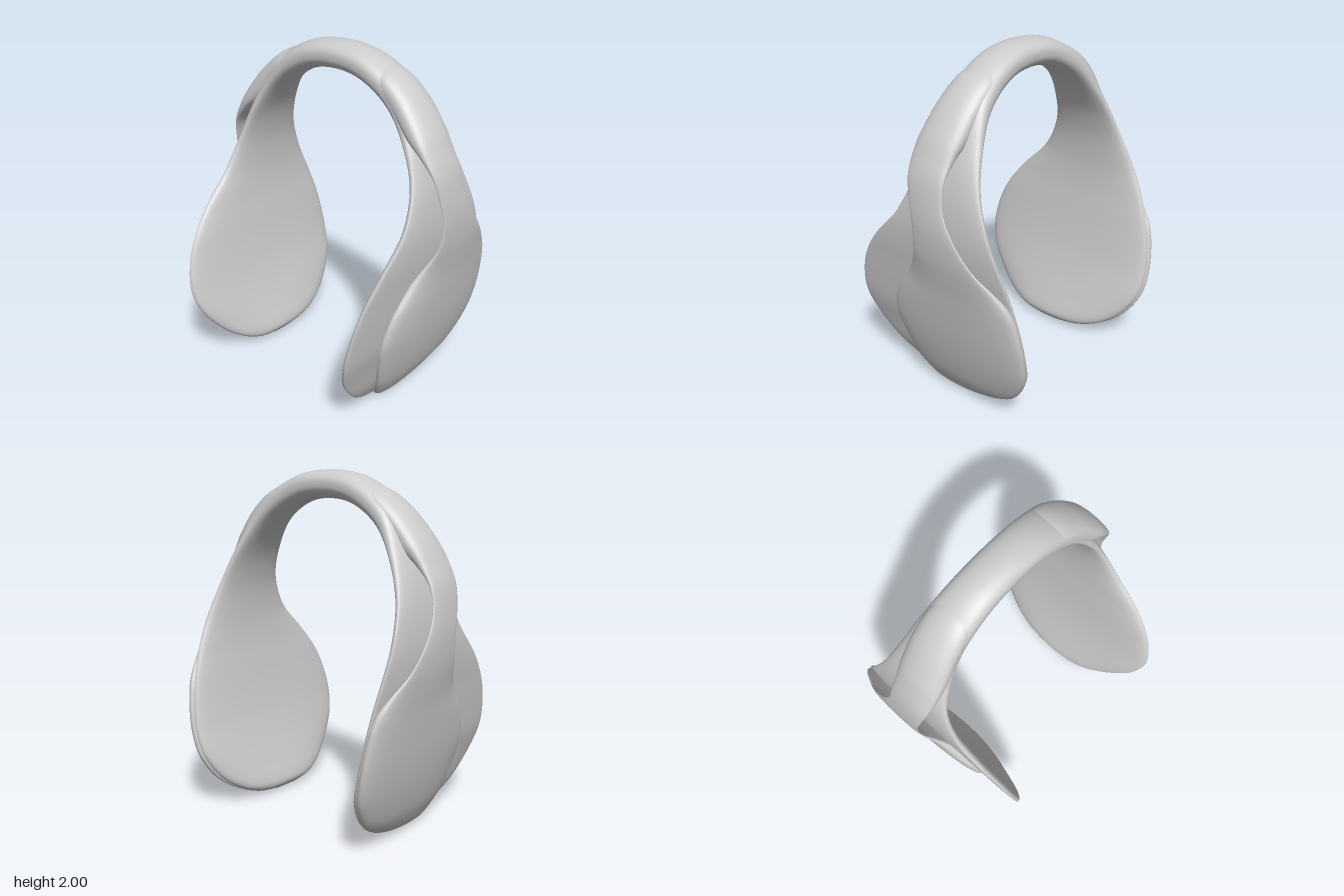
import * as THREE from 'three';

const material = new THREE.MeshStandardMaterial({ color: 0xcccccc, side: THREE.DoubleSide });

// Station: [inner x, inner y, outer x, outer y, front z, back z, rim position between inner (0) and outer (1)]
// Half of the arch with its inner pad, from crown to lower tip
const archHalf = [
  [0, 1.842, 0, 2, 0.042, -0.2, 0.5],
  [0.2, 1.808, 0.24, 1.96, 0.045, -0.205, 0.5],
  [0.39, 1.69, 0.46, 1.815, 0.055, -0.23, 0.45],
  [0.52, 1.52, 0.595, 1.57, 0.08, -0.28, 0.4],
  [0.588, 1.33, 0.665, 1.35, 0.125, -0.34, 0.6],
  [0.61, 1.14, 0.69, 1.14, 0.23, -0.425, 0.8],
  [0.605, 0.97, 0.685, 0.97, 0.395, -0.5, 0.8],
  [0.585, 0.81, 0.665, 0.81, 0.52, -0.555, 0.8],
  [0.56, 0.65, 0.645, 0.65, 0.59, -0.59, 0.8],
  [0.53, 0.5, 0.62, 0.48, 0.612, -0.603, 0.78],
  [0.49, 0.35, 0.58, 0.33, 0.565, -0.58, 0.78],
  [0.445, 0.21, 0.54, 0.185, 0.455, -0.49, 0.8],
  [0.412, 0.11, 0.5, 0.09, 0.335, -0.365, 0.8],
  [0.405, 0.06, 0.47, 0.03, 0.21, -0.22, 0.7],
  [0.425, 0.025, 0.455, 0.01, 0.08, -0.08, 0.5],
];

// Outer leaf that peels off the band, bows outwards and merges with the pad
const leafHalf = [
  [0.17, 1.84, 0.19, 1.92, -0.02, -0.14, 0.5],
  [0.3, 1.77, 0.36, 1.905, 0.04, -0.2, 0.5],
  [0.405, 1.69, 0.515, 1.797, 0.06, -0.208, 0.5],
  [0.52, 1.575, 0.64, 1.645, 0.08, -0.2, 0.5],
  [0.61, 1.51, 0.7, 1.535, 0.08, -0.185, 0.5],
  [0.71, 1.41, 0.747, 1.42, 0.065, -0.18, 0.4],
  [0.75, 1.28, 0.773, 1.28, 0.035, -0.2, 0.3],
  [0.763, 1.15, 0.782, 1.15, 0.01, -0.27, 0.3],
  [0.75, 1.01, 0.774, 1.01, 0.025, -0.38, 0.2],
  [0.695, 0.9, 0.757, 0.9, 0.085, -0.485, 0.2],
  [0.625, 0.79, 0.737, 0.79, 0.165, -0.565, 0.4],
  [0.59, 0.65, 0.715, 0.65, 0.272, -0.602, 0.46],
  [0.56, 0.49, 0.687, 0.49, 0.322, -0.614, 0.48],
  [0.525, 0.33, 0.65, 0.33, 0.3, -0.59, 0.48],
  [0.485, 0.18, 0.603, 0.18, 0.255, -0.495, 0.5],
  [0.455, 0.09, 0.56, 0.09, 0.215, -0.37, 0.48],
  [0.445, 0.03, 0.525, 0.035, 0.18, -0.225, 0.4],
  [0.45, 0.01, 0.49, 0.005, 0.14, -0.08, 0.5],
];

// Same stations on the other side, running upwards
const mirror = (rows) => rows.map(([a, b, c, ...rest]) => [-a, b, -c, ...rest]).reverse();

// Smooth closed skin through lens-shaped cross-sections with softly flattened faces
function loft(name, rows, sides = 64) {
  const curve = (pick) =>
    new THREE.CatmullRomCurve3(rows.map((r) => new THREE.Vector3(...pick(r))), false, 'catmullrom', 0.5);
  const inner = curve((r) => [r[0], r[1], 0]);
  const outer = curve((r) => [r[2], r[3], 0]);
  const rims = curve((r) => [r[4], r[5], r[6]]);
  const steps = (rows.length - 1) * 6;
  const positions = [];
  const indices = [];

  for (let i = 0; i <= steps; i++) {
    const a = inner.getPoint(i / steps);
    const b = outer.getPoint(i / steps);
    const { x: front, y: back, z: rim } = rims.getPoint(i / steps);
    for (let j = 0; j < sides; j++) {
      const t = (j / sides) * Math.PI * 2;
      const s = Math.sign(Math.sin(t)) * Math.abs(Math.sin(t)) ** 0.8;
      const p = a.clone().lerp(b, rim + s * (s > 0 ? 1 - rim : rim));
      positions.push(p.x, p.y, (front + back) / 2 + ((front - back) / 2) * Math.cos(t));
    }
  }
  for (let i = 0; i < steps; i++) {
    for (let j = 0; j < sides; j++) {
      const k = (j + 1) % sides;
      const p = i * sides + j, q = i * sides + k;
      indices.push(p, p + sides, q, q, p + sides, q + sides);
    }
  }
  // End caps
  const last = steps * sides;
  for (let j = 1; j < sides - 1; j++) {
    indices.push(0, j, j + 1, last, last + j + 1, last + j);
  }

  const geometry = new THREE.BufferGeometry();
  geometry.setAttribute('position', new THREE.Float32BufferAttribute(positions, 3));
  geometry.setIndex(indices);
  geometry.computeVertexNormals();
  const mesh = new THREE.Mesh(geometry, material);
  mesh.name = name;
  return mesh;
}

export function createModel() {
  const model = new THREE.Group();
  model.name = 'headband';
  model.add(
    loft('archWithInnerPads', [...mirror(archHalf), ...archHalf.slice(1)]),
    loft('leftOuterLeaf', leafHalf),
    loft('rightOuterLeaf', mirror(leafHalf)),
  );
  return model;
}
